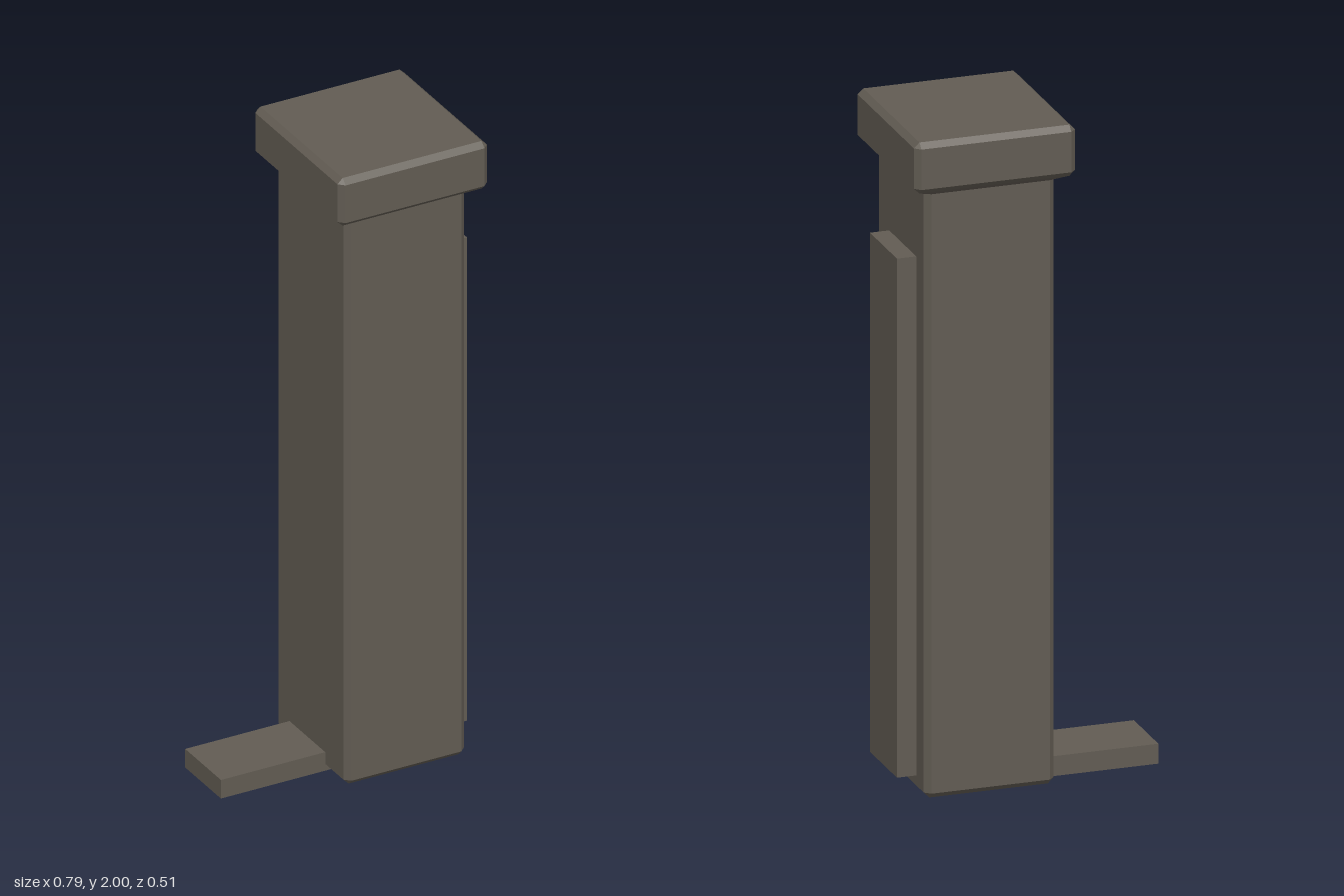
import * as THREE from 'three';
import { ConvexGeometry } from 'three/addons/geometries/ConvexGeometry.js';

const CENTER_X = 0.14;

// Horizontal rectangle with corners cut by c (a plain rectangle when c is 0)
function ring(y, hx, hz, c) {
  const points = [];
  for (const sx of [-1, 1]) for (const sz of [-1, 1]) {
    points.push(new THREE.Vector3(sx * hx, y, sz * (hz - c)));
    if (c > 0) points.push(new THREE.Vector3(sx * (hx - c), y, sz * hz));
  }
  return points;
}

export function createModel() {
  const group = new THREE.Group();
  const stone = new THREE.MeshStandardMaterial({ color: 0x625c53 });
  stone.name = 'dark stone';

  function add(name, geometry, x, y, z) {
    const mesh = new THREE.Mesh(geometry, stone);
    mesh.name = name;
    mesh.position.set(x, y, z);
    group.add(mesh);
  }
  const hull = (name, ...rings) => add(name, new ConvexGeometry(rings.flat()), CENTER_X, 0, 0);
  const box = (name, x0, x1, y0, y1, z0, z1) => add(name,
    new THREE.BoxGeometry(x1 - x0, y1 - y0, z1 - z0),
    (x0 + x1) / 2, (y0 + y1) / 2, (z0 + z1) / 2);

  // Tall shaft with bevelled edges
  const b = 0.017;
  hull('shaft',
    ring(0.005, 0.195 - b, 0.207 - b, 0), ring(0.005 + b, 0.195, 0.207, b),
    ring(1.827, 0.195, 0.207, b));

  // Sloped collar widening under the cap
  hull('collar', ring(1.827, 0.195, 0.207, b), ring(1.846, 0.225, 0.24, 0));

  // Bevelled cap block
  hull('cap',
    ring(1.846, 0.225, 0.24, 0), ring(1.862, 0.242, 0.257, b),
    ring(1.984, 0.242, 0.257, b), ring(2, 0.225, 0.24, 0));

  // Raised side panel and flat foot
  box('sidePanel', 0.325, 0.393, 0.052, 1.615, -0.127, 0.104);
  box('foot', -0.393, 0, 0, 0.06, -0.125, 0.084);

  return group;
}
